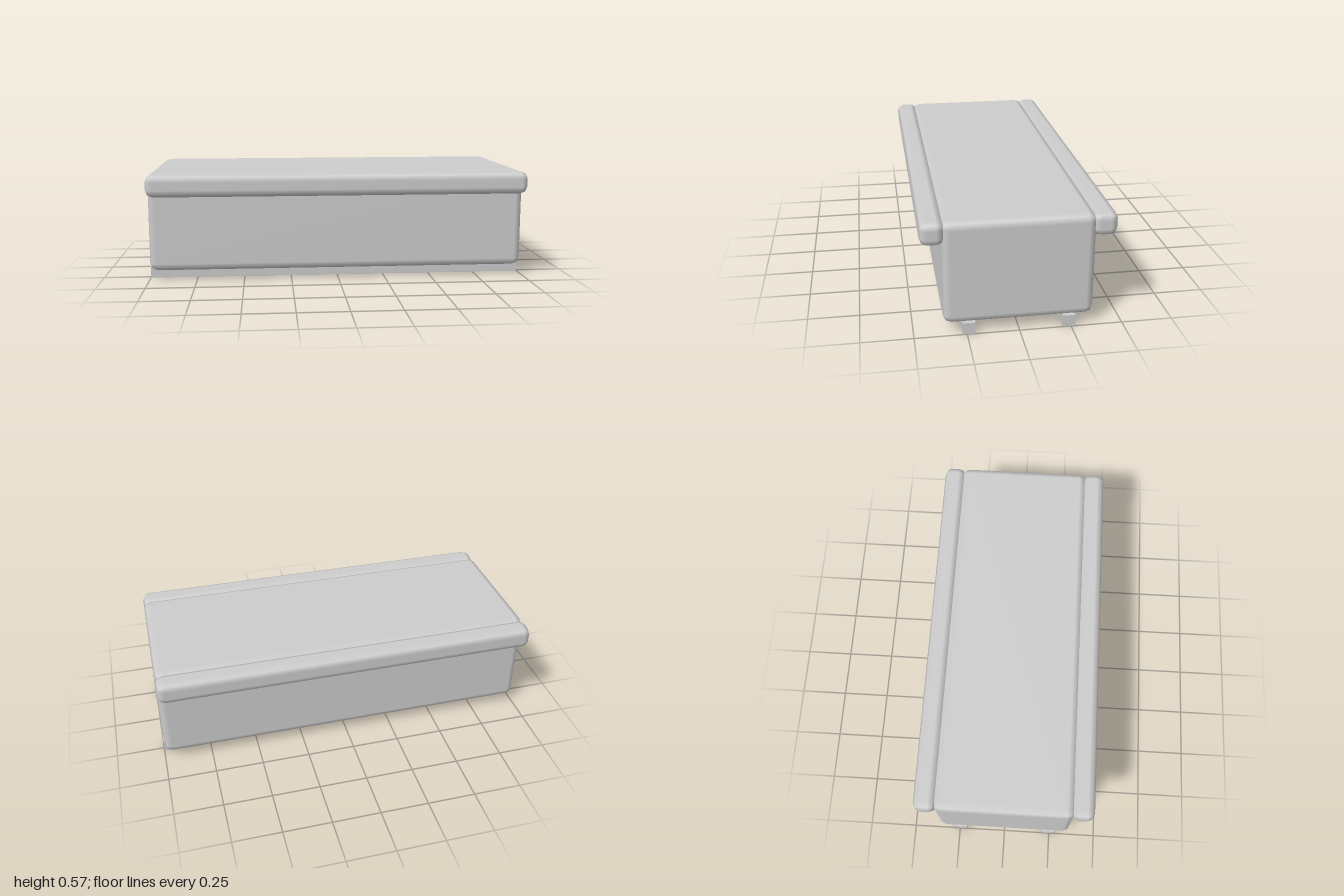
import * as THREE from 'three';
import { RoundedBoxGeometry } from 'three/addons/geometries/RoundedBoxGeometry.js';

export function createModel() {
  const group = new THREE.Group();
  group.name = 'bench';
  const grey = new THREE.MeshStandardMaterial({ color: 0xcccccc });
  grey.name = 'light grey';

  const add = (name, geometry, y, z) => {
    const mesh = new THREE.Mesh(geometry, grey);
    mesh.name = name;
    mesh.position.set(0, y, z);
    group.add(mesh);
  };

  // Softly bevelled main block
  add('body', new RoundedBoxGeometry(1.99, 0.52, 0.722, 1, 0.04), 0.312, 0);

  // Padded rail along each top edge, and a square runner below
  const rail = new RoundedBoxGeometry(1.99, 0.117, 0.117, 1, 0.038);
  const runner = new THREE.BoxGeometry(2, 0.06, 0.06);
  for (const [side, s] of [['front', 1], ['back', -1]]) {
    add(side + 'Rail', rail, 0.5135, s * 0.4025);
    add(side + 'Runner', runner, 0.03, s * 0.24);
  }
  return group;
}
